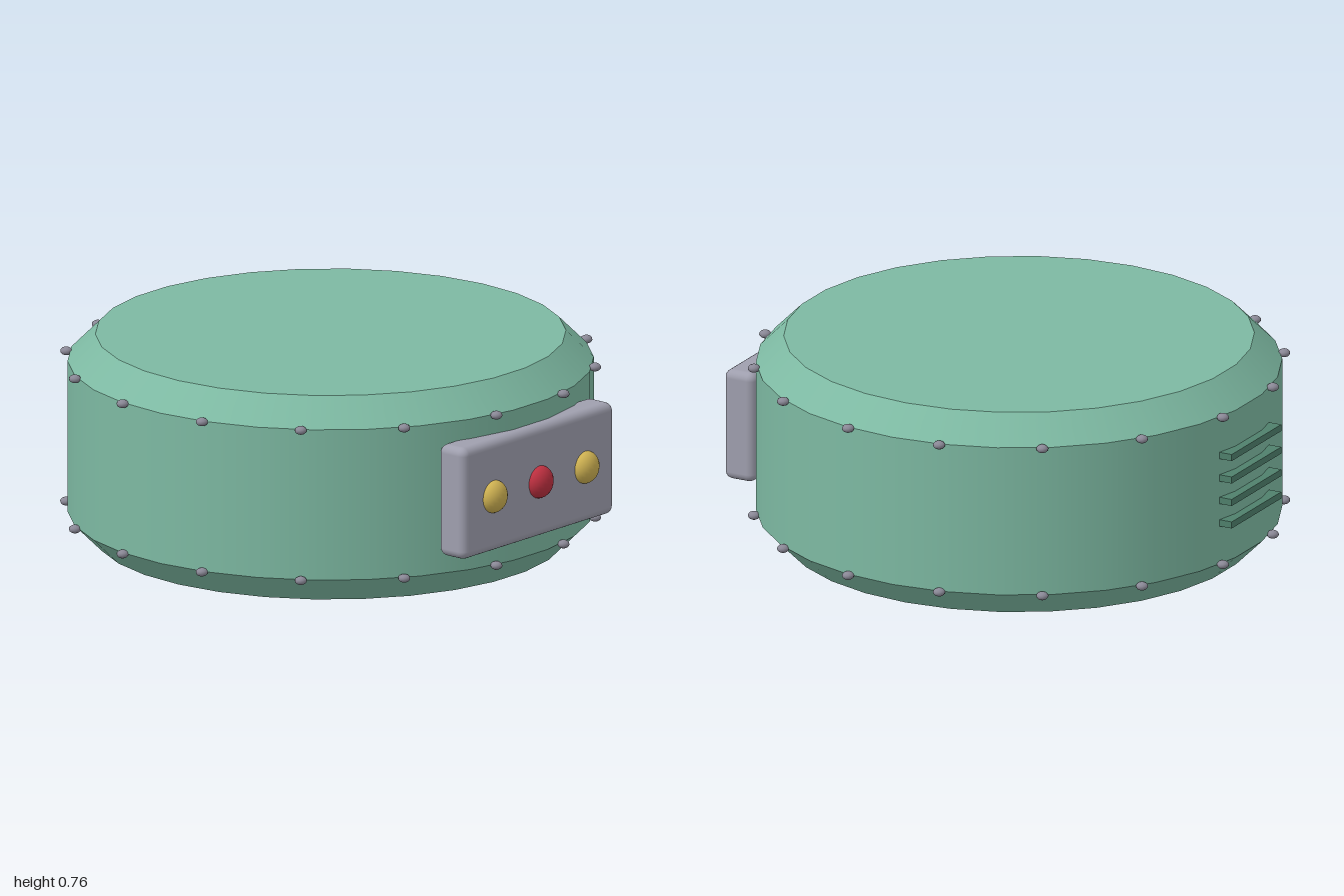
import * as THREE from 'three';
import { RoundedBoxGeometry } from 'three/addons/geometries/RoundedBoxGeometry.js';

const SIDES = 30, RADIUS = 0.945, RIM = 0.845;
const HEIGHT = 0.76, LOW = 0.1, HIGH = 0.66, CENTRE_Z = -0.028;

function material(name, color) {
  const m = new THREE.MeshStandardMaterial({ color });
  m.name = name;
  return m;
}

export function createModel() {
  const green = material('sage green', 0x7db9a2);
  const darkGreen = material('dark green', 0x4f806c);
  const grey = material('panel grey', 0x9f9fae);
  const rivetGrey = material('rivet grey', 0x8a8896);
  const yellow = material('button yellow', 0xcfb252);
  const red = material('button red', 0xbe3040);

  const model = new THREE.Group();
  model.name = 'roundCase';

  function add(parent, name, geometry, mat, x = 0, y = 0, z = 0) {
    const mesh = new THREE.Mesh(geometry, mat);
    mesh.name = name;
    mesh.position.set(x, y, z);
    parent.add(mesh);
    return mesh;
  }

  // Drum: straight wall, two chamfers and two flat caps
  const drum = new THREE.Group();
  drum.name = 'drum';
  drum.position.z = CENTRE_Z;
  model.add(drum);
  const ring = (name, top, bottom, y0, y1) => add(drum, name,
    new THREE.CylinderGeometry(top, bottom, y1 - y0, SIDES, 1, true, Math.PI / 2), green, 0, (y0 + y1) / 2);
  ring('lowerChamfer', RADIUS, RIM, 0, LOW);
  ring('wall', RADIUS, RADIUS, LOW, HIGH);
  ring('upperChamfer', RIM, RADIUS, HIGH, HEIGHT);
  const cap = new THREE.CircleGeometry(RIM, SIDES);
  add(drum, 'lid', cap, green, 0, HEIGHT).rotation.x = -Math.PI / 2;
  add(drum, 'base', cap, green).rotation.x = Math.PI / 2;

  // Rivets along both chamfer edges
  const rivets = new THREE.Group();
  rivets.name = 'rivets';
  rivets.position.z = CENTRE_Z;
  model.add(rivets);
  const rivet = new THREE.SphereGeometry(0.022, 12, 8);
  for (const y of [LOW, HIGH]) {
    for (let i = 0; i < 16; i++) {
      const a = (i + 0.5) * Math.PI / 8;
      add(rivets, 'rivet', rivet, rivetGrey, 0.955 * Math.sin(a), y, 0.955 * Math.cos(a)).scale.y = 0.7;
    }
  }

  // Control panel with three domed buttons
  add(model, 'controlPanel', new RoundedBoxGeometry(0.84, 0.415, 0.125, 3, 0.03), grey, 0, 0.38, 0.892);
  const button = new THREE.SphereGeometry(0.06, 20, 14);
  [[-0.255, yellow], [0, red], [0.255, yellow]].forEach(([x, mat]) => {
    add(model, 'button', button, mat, x, 0.38, 0.953).scale.z = 0.75;
  });

  // Vent slats on the back
  const slat = new THREE.BoxGeometry(0.37, 0.025, 0.06);
  for (let i = 0; i < 4; i++) {
    add(model, 'ventSlat', slat, darkGreen, 0, 0.255 + i * 0.0855, -0.97);
  }
  return model;
}
